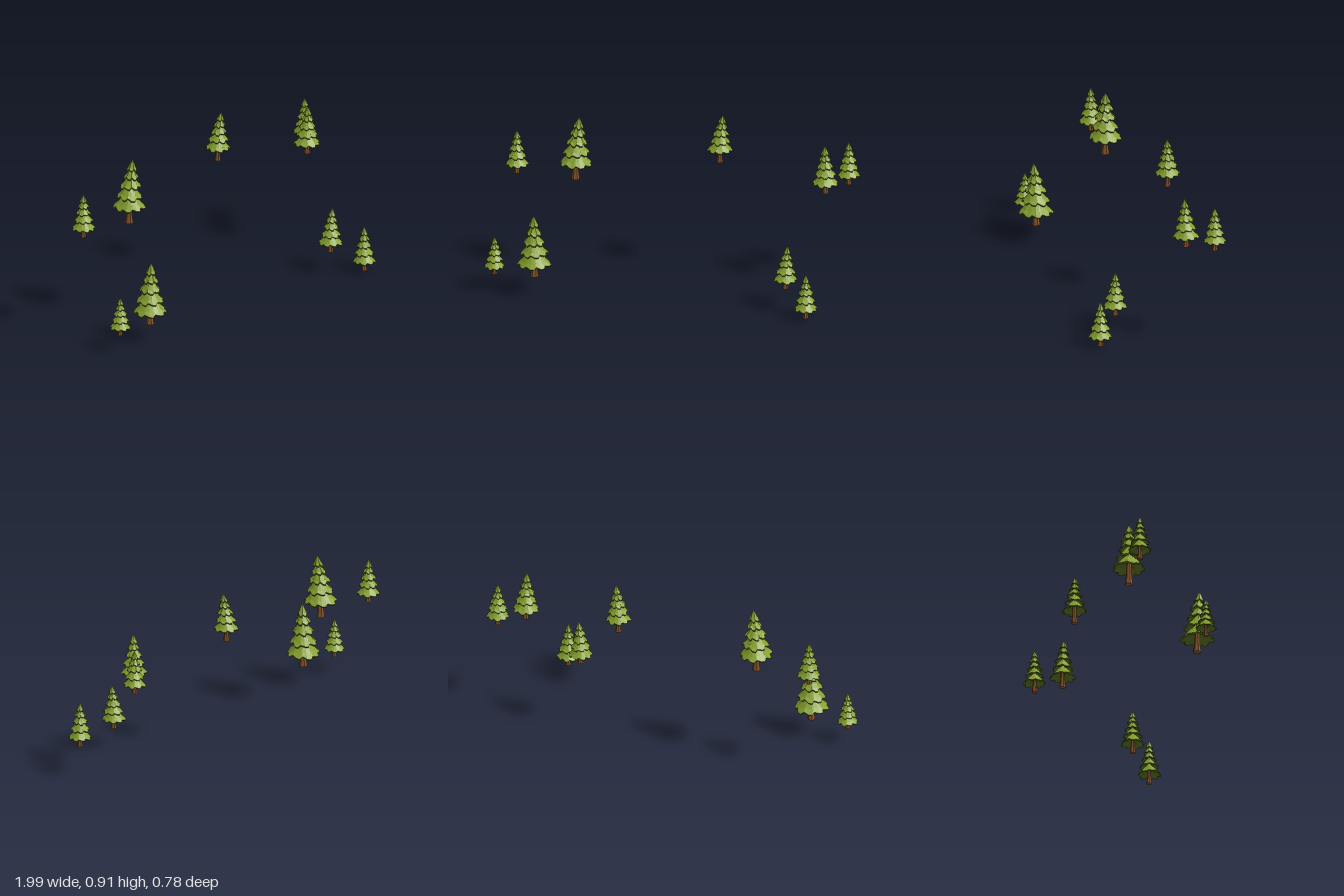
import * as THREE from 'three';

const green = new THREE.MeshStandardMaterial({ color: 0x86a02c, flatShading: true });
const darkGreen = new THREE.MeshStandardMaterial({ color: 0x56691f, flatShading: true });
const brown = new THREE.MeshStandardMaterial({ color: 0x8a5528, flatShading: true });

// Skin over closed rings of points, listed from inside/bottom to top
function skin(rings) {
  const n = rings[0].length, index = [];
  for (let i = 0; i < rings.length - 1; i++) {
    for (let j = 0; j < n; j++) {
      const k = (j + 1) % n;
      const a = i * n + j, b = i * n + k, c = a + n, d = b + n;
      index.push(a, c, b, b, c, d);
    }
  }
  const g = new THREE.BufferGeometry().setFromPoints(rings.flat());
  g.setIndex(index);
  g.computeVertexNormals();
  return g;
}

function seeded(seed) {
  let s = seed * 7919 + 17;
  return () => (s = (s * 16807) % 2147483647) / 2147483647;
}

// Tiers of a tree of height 1: hem height, hem radius, top height, frond count
const TIERS = [
  [0.185, 0.250, 0.48, 9],
  [0.360, 0.203, 0.62, 8],
  [0.530, 0.160, 0.76, 8],
  [0.680, 0.118, 0.88, 7],
  [0.805, 0.080, 1.00, 6],
];
const TOOTH_R = [0.89, 1.02, 0.99];
const TOOTH_Y = [0.032, 0, 0.004];

function makeTree({ at, height, radius, skirt = 0.185, lean = [0, 0] }, seed) {
  const tree = new THREE.Group();
  const rand = seeded(seed + 1);
  const wide = radius / 0.25;
  // Leaning point at angle a, radius r and height y of the unit tree
  const point = (a, r, y) => {
    const bend = y * y;
    return new THREE.Vector3(
      Math.cos(a) * r + lean[0] * bend, y * height, Math.sin(a) * r + lean[1] * bend);
  };
  const add = (name, geometry, material) => {
    const mesh = new THREE.Mesh(geometry, material);
    mesh.name = name;
    tree.add(mesh);
  };

  // Flared trunk with root ridges
  const trunkRing = (r, y) => Array.from({ length: 12 }, (_, j) =>
    point(j * Math.PI / 6, r * wide * height * (j % 2 ? 0.88 : 1.04) * 0.25 / (radius / 0.25 * height) * radius / 0.25, y));
  const trunkScale = height / (0.25 * height) * 0.25;
  const rings = [[0.001, 0], [0.06, 0], [0.047, 0.09], [0.038, 0.2], [0.034, 0.4]]
    .map(([r, y]) => Array.from({ length: 12 }, (_, j) =>
      point(j * Math.PI / 6, r * height * trunkScale * (j % 2 ? 0.9 : 1.04), y)));
  add('trunk', skin(rings), brown);

  // Overlapping skirts of shingled fronds
  TIERS.forEach(([hem, r0, top, fronds], t) => {
    const lift = y => skirt + (y - 0.185) * (1 - skirt) / 0.815;
    const turn = rand() * 6.28, n = fronds * 3;
    const size = Array.from({ length: fronds }, () => 0.95 + rand() * 0.09);
    const drop = Array.from({ length: fronds }, () => (rand() - 0.5) * 0.016);
    const r = r0 * wide;
    const ring = (scale, rise, tooth) => Array.from({ length: n }, (_, j) => {
      const f = Math.floor(j / 3), k = j % 3;
      const jag = 1 + (TOOTH_R[k] * size[f] - 1) * tooth;
      const a = turn + (j + (k === 0 ? 0.3 : 0)) / n * Math.PI * 2;
      return point(a, r * scale * jag, lift(hem) + rise + (TOOTH_Y[k] + drop[f]) * tooth);
    });
    const span = lift(top) - lift(hem);
    const edge = ring(1, 0.022, 1), lip = ring(0.93, 0, 1);
    add('frondTier' + (t + 1), skin([
      edge, ring(0.76, span * 0.27, 0.8), ring(0.5, span * 0.56, 0.5), ring(0.01, span, 0),
    ]), green);
    add('frondUnderside' + (t + 1), skin([
      ring(0.12, span * 0.55, 0), ring(0.62, span * 0.3, 0.4), lip, edge,
    ]), darkGreen);
  });

  tree.position.set(...at);
  return tree;
}

const TREES = [
  { at: [-0.84, 0.53, -0.325], height: 0.245, radius: 0.062 },
  { at: [-0.525, 0.525, -0.268], height: 0.36, radius: 0.088, skirt: 0.235, lean: [0.02, 0.008] },
  { at: [0.243, 0.63, -0.287], height: 0.275, radius: 0.067, skirt: 0.24, lean: [0.017, 0.01] },
  { at: [0.813, 0.525, -0.138], height: 0.275, radius: 0.069, lean: [-0.004, 0.008] },
  { at: [0.932, 0.53, -0.252], height: 0.243, radius: 0.062 },
  { at: [-0.944, 0.087, 0.013], height: 0.214, radius: 0.056 },
  { at: [-0.73, 0.09, 0.043], height: 0.355, radius: 0.091, lean: [-0.005, 0.012] },
  { at: [0.614, 0.108, 0.186], height: 0.248, radius: 0.064, lean: [0.012, 0.004] },
  { at: [0.729, 0, 0.324], height: 0.25, radius: 0.062 },
];

export function createModel() {
  const group = new THREE.Group();
  group.name = 'pineTrees';
  TREES.forEach((spec, i) => {
    const tree = makeTree(spec, i);
    tree.name = 'pineTree' + (i + 1);
    group.add(tree);
  });
  return group;
}
